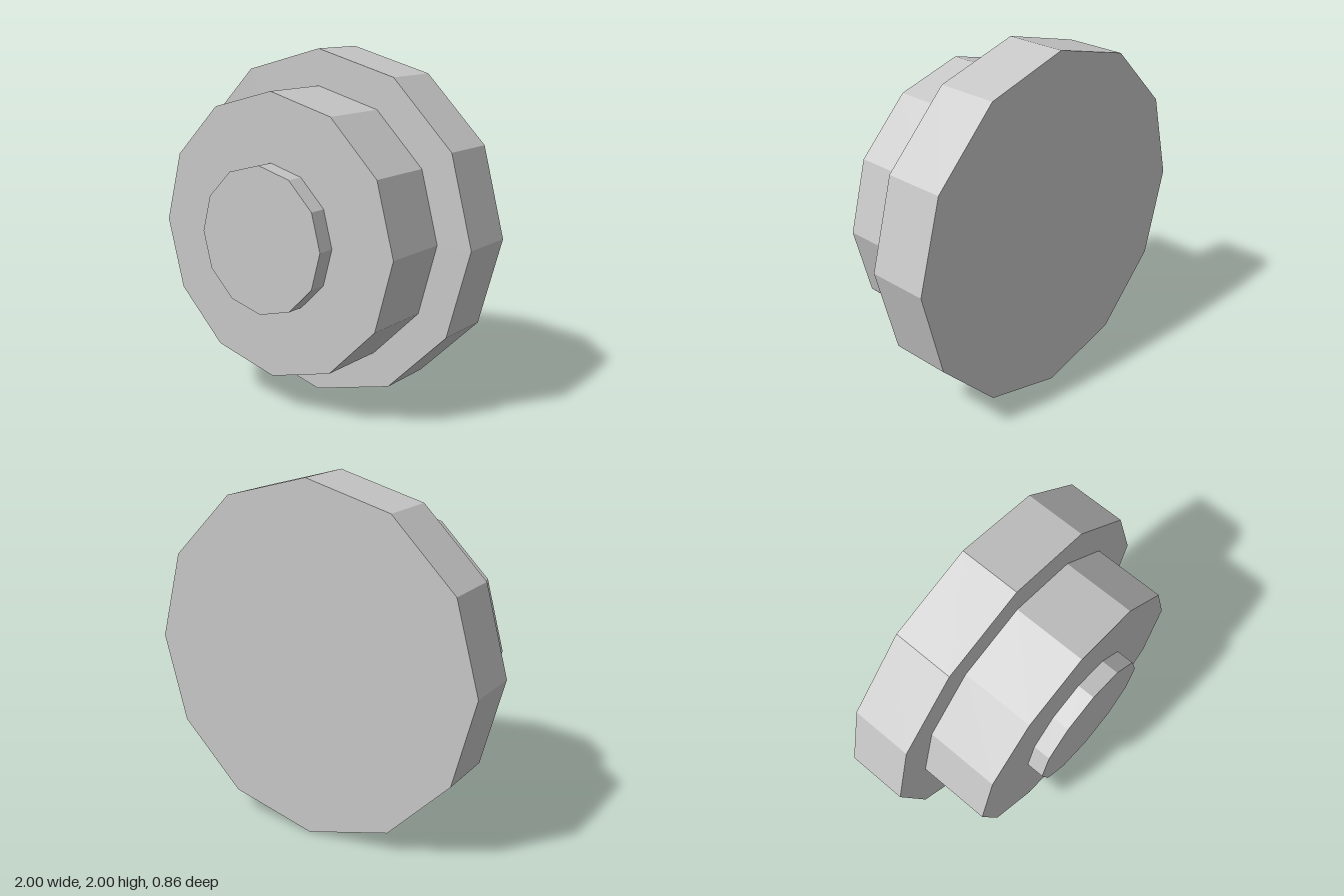
import * as THREE from 'three';

const SIDES = 12;

// Stacked faceted discs, from the wide back to the small front: radius, back z, front z
const TIERS = [
  { name: 'baseDisc', radius: 1, back: -0.43, front: -0.086 },
  { name: 'middleDisc', radius: 0.795, back: -0.086, front: 0.328 },
  { name: 'frontButton', radius: 0.412, back: 0.328, front: 0.43 },
];

export function createModel() {
  const group = new THREE.Group();
  group.name = 'steppedKnob';
  const grey = new THREE.MeshStandardMaterial({ color: 0xc8c8c8, flatShading: true });
  grey.name = 'light grey';

  for (const { name, radius, back, front } of TIERS) {
    // Cylinder turned so its axis runs front to back
    const geometry = new THREE.CylinderGeometry(radius, radius, front - back, SIDES);
    geometry.rotateX(Math.PI / 2);
    const disc = new THREE.Mesh(geometry, grey);
    disc.name = name;
    disc.position.set(0, 1, (front + back) / 2);
    group.add(disc);
  }
  return group;
}
